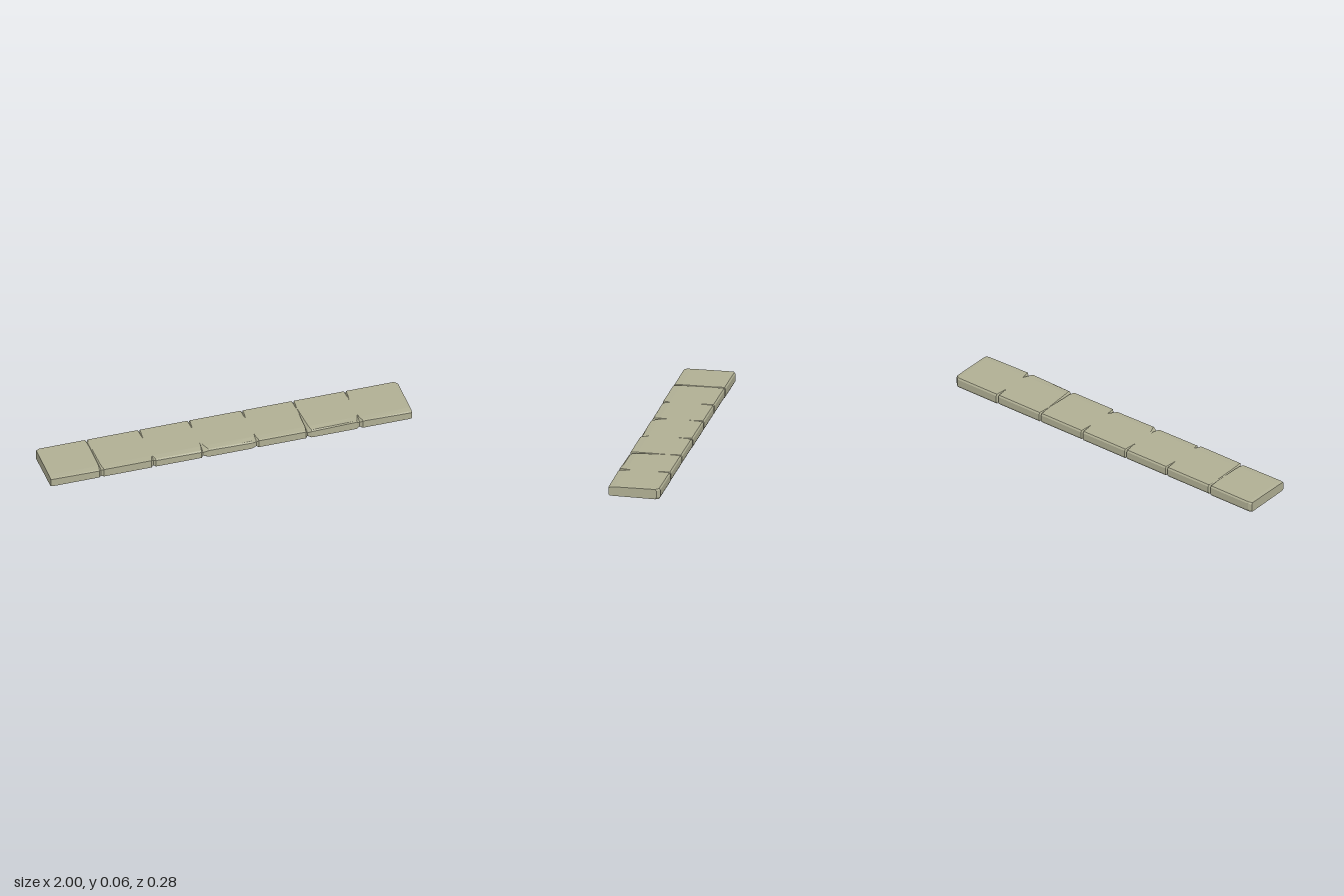
import * as THREE from 'three';

// Seams between blocks: x, how far the top groove reaches back (z), its depth,
// its width left and right of the seam, and the depth of the groove underneath
const seams = [
  { x: -0.72, reach: -0.16, depth: 0.008, left: 0.004, right: 0.006, under: 0.002 },
  { x: -0.43, reach: 0.1, depth: 0.012, left: 0.006, right: 0.005, under: 0.004 },
  { x: -0.155, reach: 0.06, depth: 0.02, left: 0.004, right: 0.024, under: 0.005 },
  { x: 0.14, reach: 0.08, depth: 0.016, left: 0.02, right: 0.005, under: 0.003 },
  { x: 0.423, reach: -0.06, depth: 0.018, left: 0.004, right: 0.014, under: 0.006 },
  { x: 0.712, reach: 0.08, depth: 0.016, left: 0.012, right: 0.008, under: 0.004 },
];

// Blocks: drop of the worn front top edge at both ends, underside height front and back
const blocks = [
  { drop: [0.004, 0.007], front: 0.007, back: 0.002 },
  { drop: [0.003, 0.003], front: 0.008, back: 0.006 },
  { drop: [0.008, 0.011], front: 0.009, back: 0.006 },
  { drop: [0.007, 0.012], front: 0.008, back: 0.005 },
  { drop: [0.005, 0.006], front: 0.009, back: 0.007 },
  { drop: [0.01, 0.004], front: 0.008, back: 0.006 },
  { drop: [0.004, 0.009], front: 0.008, back: 0.003 },
];

const TOP = 0.061, FRONT = 0.139, BACK = -0.14;
const inner = [0.1, 0.08, 0.06, 0.02, -0.06];

// One ring around the strip: over the top, down the back, along the underside, up the front
function section(block, drop, { front = FRONT, back = BACK, top = TOP, lift = 0 } = {}) {
  const mix = (z) => THREE.MathUtils.mapLinear(z, FRONT, BACK, block.front, block.back) + lift;
  const c = 0.006;
  const zs = [front - 0.008, ...inner, back + c];
  const ring = zs.map((z, i) => [z, i === 0 ? top - drop * 0.35 : top]);
  ring.push([back, top - 0.009], [back, mix(back) + 0.012]);
  for (const z of [...zs].reverse()) ring.push([z, mix(z)]);
  ring.push([front, mix(front) + 0.005], [front, top - drop]);
  return ring;
}

// Share of the groove present at depth z
const grooveShare = (s, z) => THREE.MathUtils.clamp((z - s.reach) / (FRONT - s.reach), 0, 1);

// Edge of a block beside a seam; the groove widens towards the front
function shoulder(block, drop, s, side) {
  const width = side < 0 ? s.left : s.right;
  return section(block, drop).map(([z, y]) => {
    const rim = z < -0.13 || z > 0.128 ? 0.007 : 0.002;
    return new THREE.Vector3(s.x + side * (rim + width * grooveShare(s, z)), y, z);
  });
}

// Bottom of the V between two blocks
function valley(block, s) {
  const ring = section(block, 0.005, { front: FRONT - 0.011, back: BACK + 0.012, lift: s.under });
  return ring.map(([z, y]) => {
    const cut = y > 0.035 ? s.depth * grooveShare(s, z) + (z < -0.12 ? 0.006 : 0) : 0;
    return new THREE.Vector3(s.x, y - cut, z);
  });
}

// Strip ends, with the rear corner cut off
function endRings(block, drop, x, back) {
  const at = (px, ring) => ring.map(([z, y]) => new THREE.Vector3(px, y, z));
  return [
    at(x, section(block, drop, { back, front: FRONT - 0.003, top: TOP - 0.002, lift: 0.001 })),
    at(x - Math.sign(x) * 0.018, section(block, drop)),
  ];
}

function loft(rings) {
  const pos = [];
  const tri = (...pts) => pts.forEach((p) => pos.push(p.x, p.y, p.z));
  const n = rings[0].length;
  for (let i = 0; i < rings.length - 1; i++) {
    for (let j = 0; j < n; j++) {
      const k = (j + 1) % n, a = rings[i], b = rings[i + 1];
      tri(a[j], b[j], b[k]);
      tri(a[j], b[k], a[k]);
    }
  }
  // End caps
  const cap = (ring, flip) => {
    const mid = ring.reduce((m, p) => m.add(p), new THREE.Vector3()).divideScalar(n);
    ring.forEach((p, j) => {
      const q = ring[(j + 1) % n];
      flip ? tri(mid, q, p) : tri(mid, p, q);
    });
  };
  cap(rings[0], false);
  cap(rings[rings.length - 1], true);
  const geo = new THREE.BufferGeometry();
  geo.setAttribute('position', new THREE.Float32BufferAttribute(pos, 3));
  geo.computeVertexNormals();
  return geo;
}

export function createModel() {
  const group = new THREE.Group();
  group.name = 'stoneEdging';

  const last = blocks.length - 1;
  const rings = [...endRings(blocks[0], blocks[0].drop[0], -1, -0.132)];
  seams.forEach((s, i) => {
    rings.push(
      shoulder(blocks[i], blocks[i].drop[1], s, -1),
      valley(blocks[i], s),
      shoulder(blocks[i + 1], blocks[i + 1].drop[0], s, 1),
    );
  });
  rings.push(...endRings(blocks[last], blocks[last].drop[1], 1, -0.122).reverse());

  const material = new THREE.MeshStandardMaterial({ color: 0xb0af94, flatShading: true });
  const strip = new THREE.Mesh(loft(rings), material);
  strip.name = 'stoneBlocks';
  group.add(strip);
  return group;
}
